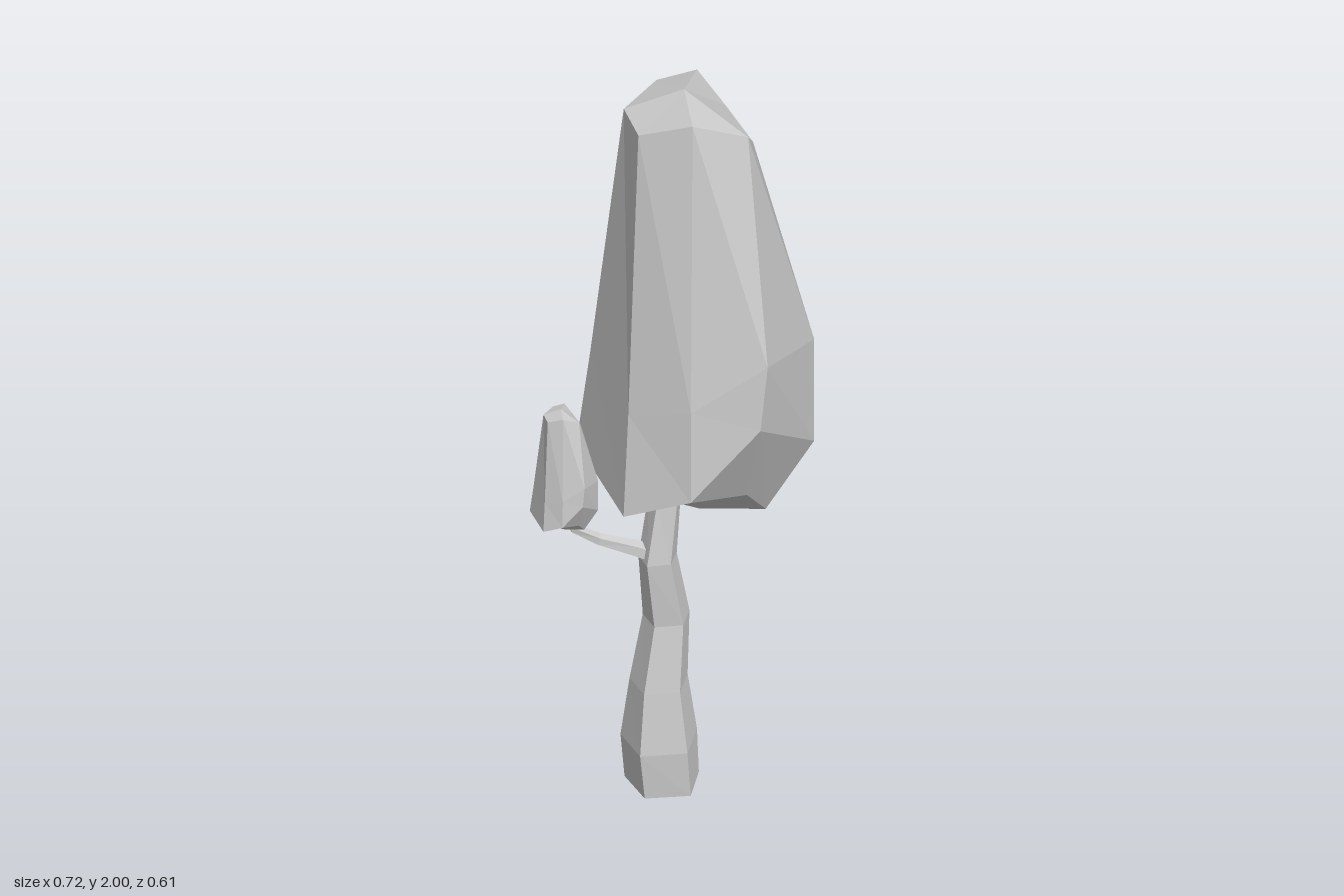
import * as THREE from 'three';

const material = new THREE.MeshStandardMaterial({ color: 0xcccccc, flatShading: true });

// Skin a stack of rings, listed from tip to base, and close both ends
function loft(rings, tip, base) {
  const pos = [];
  const tri = (...pts) => pts.forEach(p => pos.push(...p));
  const n = rings[0].length;
  for (let i = 0; i < n; i++) {
    const j = (i + 1) % n;
    tri(tip, rings[0][i], rings[0][j]);
    for (let k = 0; k < rings.length - 1; k++) {
      const a = rings[k], b = rings[k + 1];
      tri(a[i], b[i], b[j]);
      tri(a[i], b[j], a[j]);
    }
    const last = rings[rings.length - 1];
    tri(base, last[j], last[i]);
  }
  const geo = new THREE.BufferGeometry();
  geo.setAttribute('position', new THREE.Float32BufferAttribute(pos, 3));
  geo.computeVertexNormals();
  return geo;
}

// Regular ring facing along dir, with its own half width and half depth
function ring(x, y, z, rx, rz, sides, dir = new THREE.Vector3(0, 1, 0)) {
  const q = new THREE.Quaternion().setFromUnitVectors(new THREE.Vector3(0, 1, 0), dir);
  return Array.from({ length: sides }, (_, i) => {
    const a = (i / sides) * Math.PI * 2;
    return new THREE.Vector3(Math.sin(a) * rx, 0, Math.cos(a) * rz)
      .applyQuaternion(q).add(new THREE.Vector3(x, y, z)).toArray();
  });
}

function addMesh(group, name, geo) {
  const mesh = new THREE.Mesh(geo, material);
  mesh.name = name;
  group.add(mesh);
  return mesh;
}

export function createModel() {
  const tree = new THREE.Group();
  tree.name = 'tree';

  // Faceted crown: eight corners per ring, from the front round by the left
  const crownRings = [
    [[0.067, 1.93, 0.178], [0.17, 1.83, 0.085], [0.193, 1.87, -0.04], [0.147, 1.97, -0.095],
      [0.05, 1.96, -0.14], [-0.08, 1.94, -0.12], [-0.128, 1.93, -0.015], [-0.055, 1.98, 0.105]],
    [[0.015, 1.33, 0.305], [0.29, 1.24, 0.18], [0.352, 1.44, -0.117], [0.305, 1.2, -0.255],
      [0.15, 1.25, -0.24], [-0.115, 1.2, -0.205], [-0.195, 1.15, 0.02], [-0.13, 1.2, 0.18]],
    [[-0.005, 1.15, 0.3], [0.29, 0.94, 0.18], [0.357, 1.27, -0.117], [0.305, 0.88, -0.245],
      [0.165, 0.86, -0.308], [-0.13, 0.92, -0.24], [-0.225, 0.87, 0.035], [-0.145, 0.95, 0.195]],
    [[0.07, 0.87, 0.17], [0.19, 0.75, 0.11], [0.21, 0.79, -0.01], [0.18, 0.77, -0.12],
      [0.06, 0.76, -0.13], [-0.05, 0.82, -0.12], [-0.1, 0.86, 0], [-0.04, 0.89, 0.09]],
  ];
  const crownGeo = loft(crownRings, [0.028, 2, -0.015], [0.06, 0.76, 0.01]);
  addMesh(tree, 'crown', crownGeo);

  // Small crown on the side branch, same shape in miniature
  const small = addMesh(tree, 'smallCrown', crownGeo);
  small.scale.setScalar(0.287);
  small.position.set(-0.296, 0.566, -0.123);

  // Crooked five-sided trunk: x, y, z, half width, half depth
  const trunkRings = [
    [-0.04, 0.95, 0, 0.04, 0.04],
    [-0.05, 0.84, 0, 0.043, 0.043],
    [-0.075, 0.67, 0, 0.053, 0.047],
    [-0.04, 0.48, -0.005, 0.063, 0.06],
    [-0.065, 0.3, -0.005, 0.078, 0.075],
    [-0.063, 0.13, -0.005, 0.102, 0.1],
    [-0.052, 0, -0.005, 0.097, 0.1],
  ].map(r => ring(...r, 5));
  addMesh(tree, 'trunk', loft(trunkRings, [-0.04, 0.95, 0], [-0.052, 0, -0.005]));

  // Thin bent branch, tip to base: x, y, z, radius
  const path = [
    [-0.28, 0.83, -0.125, 0.01],
    [-0.25, 0.775, -0.12, 0.012],
    [-0.19, 0.73, -0.095, 0.016],
    [-0.12, 0.7, -0.035, 0.022],
    [-0.08, 0.68, 0, 0.024],
  ];
  const points = path.map(p => new THREE.Vector3(p[0], p[1], p[2]));
  const branchRings = path.map(([x, y, z, r], i) => {
    const dir = points[Math.max(i - 1, 0)].clone()
      .sub(points[Math.min(i + 1, path.length - 1)]).normalize();
    return ring(x, y, z, r, r, 5, dir);
  });
  addMesh(tree, 'branch', loft(branchRings, points[0].toArray(), points[4].toArray()));

  return tree;
}
